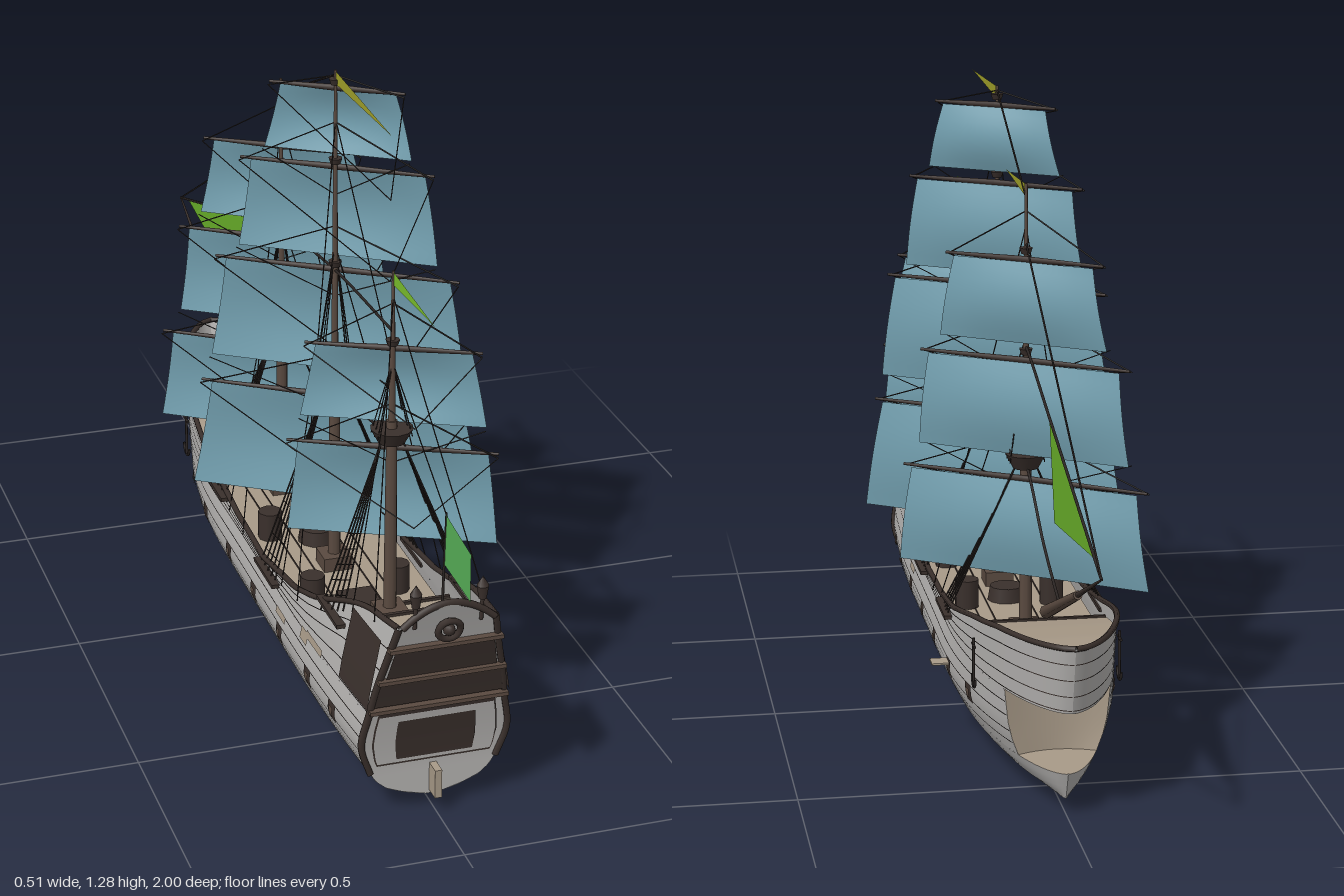
import * as THREE from 'three';

const mat = (name, color, side = THREE.DoubleSide) =>
  Object.assign(new THREE.MeshStandardMaterial({ color, side }), { name });
const M = {
  hull: mat('weathered planks', 0xb4b2b0), deck: mat('deck wood', 0xa89a88),
  dark: mat('dark timber', 0x3a302c), spar: mat('spar wood', 0x5a4a40),
  rope: mat('rope', 0x2a2422), sail: mat('sail cloth', 0x73a0b0),
  jib: mat('jib cloth', 0x69b02a), flag: mat('ensign cloth', 0x58b058),
  olive: mat('olive pennant', 0xa0a02a), lime: mat('lime pennant', 0x7cc02c),
};
const { lerp, clamp, smoothstep } = THREE.MathUtils;
const V = (x, y, z) => new THREE.Vector3(x, y, z);

// Piecewise-linear lookup in a short table of [input, output]
function table(t, x) {
  let i = 1;
  while (i < t.length - 1 && x > t[i][0]) i++;
  const [a, b] = [t[i - 1], t[i]];
  return lerp(a[1], b[1], clamp((x - a[0]) / (b[0] - a[0]), 0, 1));
}

// ---- Hull lines (bow at -z, stern at +z) ----
const LOW = 0.1, UP = 0.235;
const SHEER = [[-0.75, 0.375], [-0.55, 0.36], [-0.4, 0.335], [-0.2, 0.29], [0, 0.262], [0.2, 0.255],
  [0.42, 0.29], [0.52, 0.32], [0.6, 0.355], [0.68, 0.395], [0.75, 0.42], [0.89, 0.445]];
const SIDE = [[0.1, 0.86], [0.13, 0.95], [0.165, 1], [0.2, 0.98], [0.24, 0.93], [0.3, 0.87], [0.35, 0.8], [0.45, 0.67], [0.49, 0.6]];
const BILGE = [[0, 0.02], [0.15, 0.32], [0.4, 0.62], [0.7, 0.78], [1, 0.86]];
const sheer = (z) => table(SHEER, z);
const keelY = (z) => 0.01 + 0.025 * ((z - 0.08) / 0.74) ** 2;
const sternZ = (y) => 0.815 + 0.07 * Math.max(0, (y - 0.1) / 0.35) ** 1.5;
const tipZ = (y) => y <= LOW + 1e-6 ? -0.65 - 0.03 * (y - 0.03) / 0.07
  : y < UP - 1e-6 ? lerp(-0.68, -0.72, (y - LOW) / (UP - LOW)) : -0.72 - 0.035 * (y - UP) / 0.14;
const startZ = (y) => (y > LOW + 1e-6 && y < UP - 1e-6 ? -0.56 : tipZ(y));
function hullX(z, y) {
  const u = clamp((z - tipZ(y)) / 0.6, 0, 1);
  const plan = 0.165 * Math.max(0, 1 - (1 - u) ** 2) ** 0.6 - 0.022 * clamp((z - 0.4) / 0.45, 0, 1.1) ** 2;
  if (y < LOW) return plan * table(BILGE, (y - keelY(z)) / (LOW - keelY(z)));
  const s = table(SIDE, y);
  return plan * (y < 0.165 ? s : lerp(1, s, smoothstep(z, -0.6, 0.1)));
}

// Grid surface from a rule (u, v) -> point
function surface(fn, nu, nv) {
  const pos = [], idx = [];
  for (let i = 0; i <= nu; i++) for (let j = 0; j <= nv; j++) pos.push(...fn(i / nu, j / nv).toArray());
  for (let i = 0; i < nu; i++) for (let j = 0; j < nv; j++) {
    const a = i * (nv + 1) + j, b = a + nv + 1;
    idx.push(a, b, a + 1, b, b + 1, a + 1);
  }
  const g = new THREE.BufferGeometry();
  g.setAttribute('position', new THREE.Float32BufferAttribute(pos, 3));
  g.setIndex(idx);
  g.computeVertexNormals();
  return g;
}

export function createModel() {
  const ship = new THREE.Group();
  ship.name = 'sailingShip';
  const add = (name, geo, m, p = [0, 0, 0], parent = ship) => {
    const mesh = new THREE.Mesh(geo, m);
    mesh.name = name;
    mesh.position.set(...p);
    parent.add(mesh);
    return mesh;
  };
  const box = (name, w, h, d, m, p, parent) => add(name, new THREE.BoxGeometry(w, h, d), m, p, parent);
  // Round bar between two points
  const bar = (name, a, b, r0, r1, m, parent, sides = 8) => {
    const d = b.clone().sub(a);
    const mesh = add(name, new THREE.CylinderGeometry(r1, r0, d.length(), sides), m, a.clone().lerp(b, 0.5).toArray(), parent);
    mesh.quaternion.setFromUnitVectors(V(0, 1, 0), d.normalize());
    return mesh;
  };
  const rope = (a, b, r = 0.0016) => bar('rope', a, b, r, r, M.rope, ship, 4);
  const cloth = (name, pts, m) => {
    const g = new THREE.BufferGeometry().setFromPoints(pts);
    g.setIndex(pts.length === 4 ? [0, 1, 2, 0, 2, 3] : [0, 1, 2]);
    g.computeVertexNormals();
    return add(name, g, m);
  };

  // Hull planking: lower, middle and upper bands on each side, with seams and rail
  const along = (s, u, yAt, off = 0) => {
    const y = yAt(lerp(-0.75, 0.88, u)), z = lerp(startZ(y), sternZ(y), u);
    return V(s * (hullX(z, y) + off), y, z);
  };
  const bow = (u) => u ** 1.5;
  // Thin plate that follows the hull side
  const plate = (name, s, z0, z1, y0, y1, m, off = 0.003) => add(name, surface((u, v) => {
    const z = lerp(z0, z1, u), y = lerp(y0, y1, v);
    return V(s * (hullX(z, y) + off), y, z);
  }, 4, 4), m);

  for (const s of [1, -1]) {
    add('lowerHull', surface((u, v) => along(s, bow(u), (z) => lerp(keelY(z), LOW, v)), 50, 8), M.hull);
    add('middleHull', surface((u, v) => along(s, u, () => lerp(LOW + 2e-5, UP - 2e-5, v)), 40, 8), M.hull);
    add('upperHull', surface((u, v) => along(s, bow(u), (z) => lerp(UP, sheer(z), v)), 60, 8), M.hull);
    const seam = (f, h) => add('plankSeam', surface((u, v) => along(s, bow(u), (z) => f(z) + h * (v - 0.5), 0.0015), 50, 1), M.dark);
    for (const y of [0.125, 0.15, 0.182, 0.21]) seam(() => y, 0.002);
    for (const k of [0.03, 0.25, 0.5, 0.75]) seam((z) => lerp(UP + 0.002, sheer(z), k), 0.002);
    const rail = [];
    for (let i = 0; i <= 40; i++) rail.push(along(s, bow(i / 40), sheer));
    add('rail', new THREE.TubeGeometry(new THREE.CatmullRomCurve3(rail), 80, 0.006, 6), M.dark);

    // Gun ports
    for (const z of [0.675, 0.535, 0.35, 0.165, -0.02, -0.21, -0.37]) {
      plate('gunPortFrame', s, z - 0.018, z + 0.018, 0.147, 0.185, M.dark, 0.003);
      plate('gunPort', s, z - 0.009, z + 0.009, 0.156, 0.176, M.spar, 0.005);
    }
    // Side gallery, repair patches, chain plates
    plate('sideGallery', s, 0.7, 0.842, 0.255, 0.4, M.dark, 0.01);
    plate('repairPatch', s, 0.5, 0.59, 0.235, 0.25, M.deck);
    plate('repairPatch', s, 0.47, 0.51, 0.22, 0.245, M.deck);
    plate('repairPatch', s, 0.32, 0.38, 0.2, 0.214, M.deck);
    // Anchor
    const ax = s * (hullX(-0.435, 0.25) + 0.01);
    bar('anchorShank', V(ax, 0.2, -0.435), V(ax, 0.3, -0.435), 0.003, 0.003, M.rope);
    bar('anchorStock', V(ax, 0.285, -0.45), V(ax, 0.285, -0.42), 0.003, 0.003, M.rope);
    const fluke = add('anchorFluke', new THREE.TorusGeometry(0.02, 0.003, 6, 12, Math.PI), M.rope, [ax, 0.22, -0.435]);
    fluke.rotation.set(Math.PI, Math.PI / 2, 0);
  }
  box('openPortLid', 0.035, 0.004, 0.035, M.deck, [0.182, 0.178, -0.21]);

  // Open bow: floor, ceiling and inner wall
  const across = (name, z0, z1, yAt, m, inset = 0) => add(name, surface((u, v) => {
    const z = lerp(z0, z1, u), y = yAt(z);
    return V((hullX(z, y) - inset) * (2 * v - 1), y, z);
  }, 24, 2), m);
  across('bowFloor', -0.679, -0.54, () => LOW, M.deck);
  across('bowCeiling', -0.719, -0.54, () => UP, M.dark);
  add('bowWall', surface((u, v) => {
    const y = lerp(LOW + 2e-5, UP - 2e-5, v);
    return V(hullX(-0.56, y) * (2 * u - 1), y, -0.56 + 0.02 * (1 - (2 * u - 1) ** 2));
  }, 8, 4), M.deck);

  // Decks and the steps between them
  across('foreDeck', -0.73, -0.28, (z) => sheer(z) - 0.03, M.deck, 0.003);
  across('mainDeck', -0.28, 0.5, () => 0.215, M.deck, 0.003);
  across('quarterDeck', 0.5, 0.67, () => 0.275, M.deck, 0.003);
  across('poopDeck', 0.67, 0.865, (z) => 0.35 + (z - 0.67) * 0.1, M.deck, 0.003);
  for (const [z, y0, y1] of [[-0.28, 0.215, 0.277], [0.5, 0.215, 0.275], [0.67, 0.275, 0.35]]) {
    add('bulkhead', surface((u, v) => {
      const y = lerp(y0, y1, v);
      return V((hullX(z, y) - 0.003) * (2 * u - 1), y, z);
    }, 2, 2), M.spar);
    box('deckBeam', 2 * hullX(z, y1) - 0.01, 0.008, 0.008, M.dark, [0, y1 + 0.002, z]);
  }
  for (const x of [-0.075, -0.045, 0.045, 0.075])
    box('deckSeam', 0.0025, 0.002, 0.76, M.dark, [x, 0.216, 0.11]);
  box('hatch', 0.075, 0.012, 0.1, M.dark, [0, 0.22, 0.37]);
  box('foreHatch', 0.04, 0.012, 0.05, M.dark, [0.085, 0.22, -0.245]);
  add('capstan', new THREE.CylinderGeometry(0.035, 0.04, 0.03, 12), M.dark, [0, 0.23, 0.07]);
  for (const z of [0.03, 0.33]) for (const x of [-0.09, 0.09])
    add('barrel', new THREE.CylinderGeometry(0.025, 0.025, 0.06, 10), M.dark, [x, 0.245, z]);

  // Stern: transom, gallery bands, broken panel, round carving, lanterns, rudder
  const stern = (name, y0, y1, k, m, off, arch = 0) => add(name, surface((u, v) => {
    const x = 2 * u - 1, y = lerp(y0, y1 + arch * (1 - x * x), v), z = sternZ(y);
    return V(hullX(z, y) * k * x, y, z + off);
  }, 12, 16), m);
  stern('transom', 0.037, 0.25, 1, M.hull, 0);
  stern('upperTransom', 0.25, 0.445, 1, M.hull, 0, 0.042);
  stern('sternPanelFrame', 0.115, 0.236, 0.86, M.dark, 0.002);
  stern('sternPanel', 0.12, 0.23, 0.84, M.hull, 0.004);
  stern('brokenPlanks', 0.128, 0.216, 0.55, M.dark, 0.006);
  stern('lowerGallery', 0.258, 0.315, 0.97, M.dark, 0.006);
  stern('upperGallery', 0.325, 0.39, 0.92, M.dark, 0.006);
  for (const y of [0.25, 0.32, 0.395]) box('galleryLedge', 2 * hullX(0.84, y) + 0.01, 0.008, 0.02, M.spar, [0, y, sternZ(y) + 0.006]);
  const carving = add('roundCarving', new THREE.TorusGeometry(0.022, 0.007, 6, 16), M.dark, [0, 0.432, 0.893]);
  carving.rotation.x = 0.25;
  add('carvingBoss', new THREE.SphereGeometry(0.012, 10, 8), M.dark, [0, 0.432, 0.892]);
  const arch = [];
  for (let i = -4; i <= 4; i++) arch.push(V(hullX(0.885, 0.46) * i / 4, 0.445 + 0.042 * (1 - (i / 4) ** 2), 0.89));
  add('sternRail', new THREE.TubeGeometry(new THREE.CatmullRomCurve3(arch), 24, 0.007, 6), M.dark);
  for (const s of [-1, 1]) {
    const edge = [0.1, 0.165, 0.24, 0.3, 0.37, 0.445].map((y) => V(s * hullX(sternZ(y), y), y, sternZ(y)));
    add('sternEdge', new THREE.TubeGeometry(new THREE.CatmullRomCurve3(edge), 24, 0.007, 6), M.dark);
    bar('lanternPost', V(s * 0.065, 0.44, 0.885), V(s * 0.065, 0.5, 0.89), 0.004, 0.004, M.dark);
    add('lantern', new THREE.CylinderGeometry(0.012, 0.008, 0.026, 8), M.dark, [s * 0.065, 0.5, 0.89]);
    add('lanternCap', new THREE.ConeGeometry(0.012, 0.02, 8), M.dark, [s * 0.065, 0.523, 0.89]);
  }
  box('rudder', 0.014, 0.06, 0.035, M.deck, [0, 0.075, 0.832]);
  bar('ensignStaff', V(0, 0.43, 0.85), V(0, 0.66, 0.865), 0.003, 0.002, M.rope);
  cloth('ensign', [V(0, 0.55, 0.858), V(0, 0.655, 0.863), V(0, 0.64, 1), V(0, 0.545, 1)], M.flag);

  // Masts; sails are [yTop, yBottom, half width at top, half width at bottom]
  const masts = [
    { name: 'mainMast', z: 0.19, base: 0.2, top: 1.289, cup: 0.63, a: 0.59, flag: [0.345, M.olive],
      sails: [[0.59, 0.357, 0.265, 0.307], [0.866, 0.65, 0.232, 0.265], [1.083, 0.897, 0.178, 0.205], [1.246, 1.112, 0.117, 0.15]] },
    { name: 'foreMast', z: -0.18, base: 0.2, top: 1.15, cup: 0.585, a: 0.6, flag: [0.255, M.olive],
      sails: [[0.545, 0.348, 0.25, 0.278], [0.79, 0.6, 0.21, 0.232], [0.995, 0.83, 0.152, 0.183]] },
    { name: 'mizzenMast', z: 0.55, base: 0.26, top: 1.012, cup: 0.675, a: 0.46, flag: [0.235, M.lime],
      sails: [[0.64, 0.45, 0.185, 0.205], [0.847, 0.695, 0.15, 0.18]] },
  ];
  for (const { name, z, base, top, cup, a, flag, sails } of masts) {
    const g = new THREE.Group();
    g.name = name;
    g.position.z = z;
    g.rotation.y = -a;
    ship.add(g);
    bar('lowerMast', V(0, base, z), V(0, cup + 0.03, z), 0.014, 0.011, M.spar);
    bar('topMast', V(0, cup, z), V(0, top, z), 0.008, 0.003, M.spar);
    box('mastStep', 0.06, 0.03, 0.06, M.spar, [0, base + 0.03, z]);
    add('fightingTop', new THREE.CylinderGeometry(0.042, 0.026, 0.03, 12), M.dark, [0, cup, z]);
    sails.forEach(([yt, yb, wt, wb], i) => {
      add('sail', surface((u, v) => V(lerp(wt, wb, v) * (2 * u - 1), lerp(yt, yb, v),
        -0.016 - 0.018 * Math.sin(Math.PI * v) * (1 - 0.6 * (2 * u - 1) ** 2)), 8, 8), M.sail, [0, 0, 0], g);
      const L = wt + 0.02;
      bar('yard', V(0, yt + 0.004, -0.01), V(L, yt + 0.004, -0.01), 0.007, 0.003, M.dark, g);
      bar('yard', V(0, yt + 0.004, -0.01), V(-L, yt + 0.004, -0.01), 0.007, 0.003, M.dark, g);
      if (i) add('crosstree', new THREE.CylinderGeometry(0.014, 0.01, 0.012, 8), M.dark, [0, yt + 0.02, 0], g);
      for (const s of [-1, 1]) {
        // Lifts, sheets and braces
        const end = V(s * L * Math.cos(a), yt, z + s * L * Math.sin(a));
        rope(end, V(0, Math.min(top - 0.01, yt + 0.1), z));
        if (i) rope(V(s * wb * Math.cos(a), yb, z + s * wb * Math.sin(a)), V(0, yb - 0.08, z), 0.0012);
        rope(end, V(0, yt - 0.1, z + 0.34 * (z > 0.5 ? 0.4 : 1)), 0.0012);
      }
    });
    // Shrouds with ratlines, channel and backstays
    for (const s of [-1, 1]) {
      const foot = (k) => { const fz = z + 0.1 * k; return V(s * (hullX(fz, sheer(fz)) + 0.008), sheer(fz) - 0.015, fz); };
      const head = V(s * 0.02, cup - 0.01, z);
      for (let k = 0; k < 5; k++) rope(foot(k / 4), head, 0.0018);
      for (let r = 1; r < 9; r++) rope(foot(0).lerp(head, r / 11), foot(1).lerp(head, r / 11), 0.0011);
      box('channel', 0.02, 0.008, 0.13, M.dark, [foot(0.5).x, foot(0.5).y, z + 0.05]);
      for (const k of [1.4, 2.4]) rope(foot(k), V(0, lerp(cup, top, 0.55 * k / 1.4 > 0.9 ? 0.85 : 0.45), z), 0.0012);
      for (const k of [-1, 0, 1]) rope(V(s * 0.035, cup, z + 0.02 * k), V(0, lerp(cup, top, 0.45), z), 0.0012);
    }
    cloth('pennant', [V(0, top - 0.028, z), V(0, top - 0.002, z), V(0, top - 0.016, z + flag[0])], flag[1]);
  }

  // Bowsprit, jib and stays
  const tip = V(0, 0.585, -1);
  bar('bowsprit', V(0, 0.345, -0.43), V(0, 0.485, -0.77), 0.014, 0.009, M.spar);
  bar('jibBoom', V(0, 0.475, -0.745), tip, 0.006, 0.002, M.dark);
  cloth('jib', [V(0, 0.743, -0.455), V(0, 0.55, -0.515), V(0, 0.604, -0.935)], M.jib);
  rope(V(0, 1.28, 0.19), V(0, 1.12, -0.18), 0.002);
  rope(V(0, 1.03, -0.18), tip, 0.002);
  // Sagging stays
  const stay = (...p) => add('stay', new THREE.TubeGeometry(new THREE.CatmullRomCurve3(p), 32, 0.003, 5), M.rope);
  stay(V(0, 0.89, 0.55), V(0, 0.872, 0.19), V(0, 0.82, -0.18), V(0, 0.745, -0.45), tip);
  stay(V(0, 0.67, 0.55), V(0, 0.61, 0.19), V(0, 0.58, -0.18), V(0, 0.47, -0.4), V(0, 0.405, -0.58));
  return ship;
}
